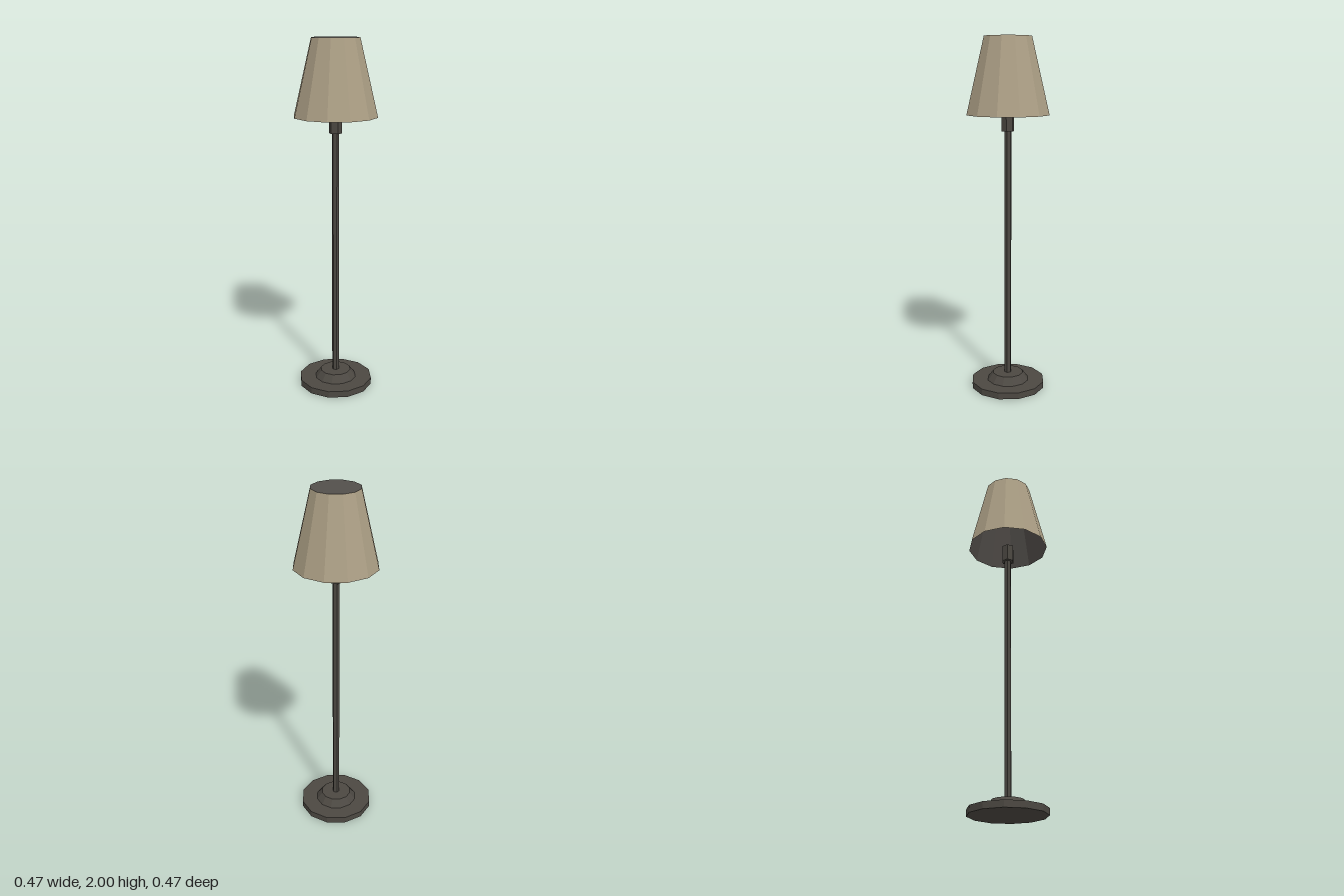
import * as THREE from 'three';

const paint = (name, color) => {
  const m = new THREE.MeshStandardMaterial({ color, flatShading: true });
  m.name = name;
  return m;
};

export function createModel() {
  const fabric = paint('beige fabric', 0xac9f85);
  const lining = paint('dark lining', 0x534f4b);
  const metal = paint('dark metal', 0x4c4842);

  const lamp = new THREE.Group();
  lamp.name = 'floorLamp';

  const add = (name, geometry, material) => {
    const mesh = new THREE.Mesh(geometry, material);
    mesh.name = name;
    lamp.add(mesh);
    return mesh;
  };

  // Faceted revolved surface; profile points are [radius, height]
  const revolve = (profile, sides) =>
    new THREE.LatheGeometry(profile.map(([r, y]) => new THREE.Vector2(r, y)), sides);

  // Six-sided rod with corners towards the left and right
  const hexRod = (radius, bottom, top) =>
    new THREE.CylinderGeometry(radius, radius, top - bottom, 6)
      .rotateY(Math.PI / 2)
      .translate(0, (top + bottom) / 2, 0);

  // Foot: flat disc with a sloped collar
  add('baseDisc', revolve([[0, 0], [0.213, 0], [0.213, 0.037], [0, 0.037]], 12), metal);
  add('baseCollar', revolve([[0.12, 0.037], [0.088, 0.08], [0, 0.08]], 12), metal);

  // Pole and bulb socket
  add('pole', hexRod(0.02, 0.06, 1.5), metal);
  add('socket', hexRod(0.036, 1.49, 1.59), metal);

  // Shade: outer wall, top cover and inward-facing lining
  add('shade', revolve([[0.233, 1.58], [0.133, 2]], 12), fabric);
  add('shadeTop', revolve([[0.133, 2], [0, 2]], 12), lining);
  add('shadeLining', revolve([[0, 1.997], [0.132, 1.997], [0.232, 1.58]], 12), lining);

  return lamp;
}
